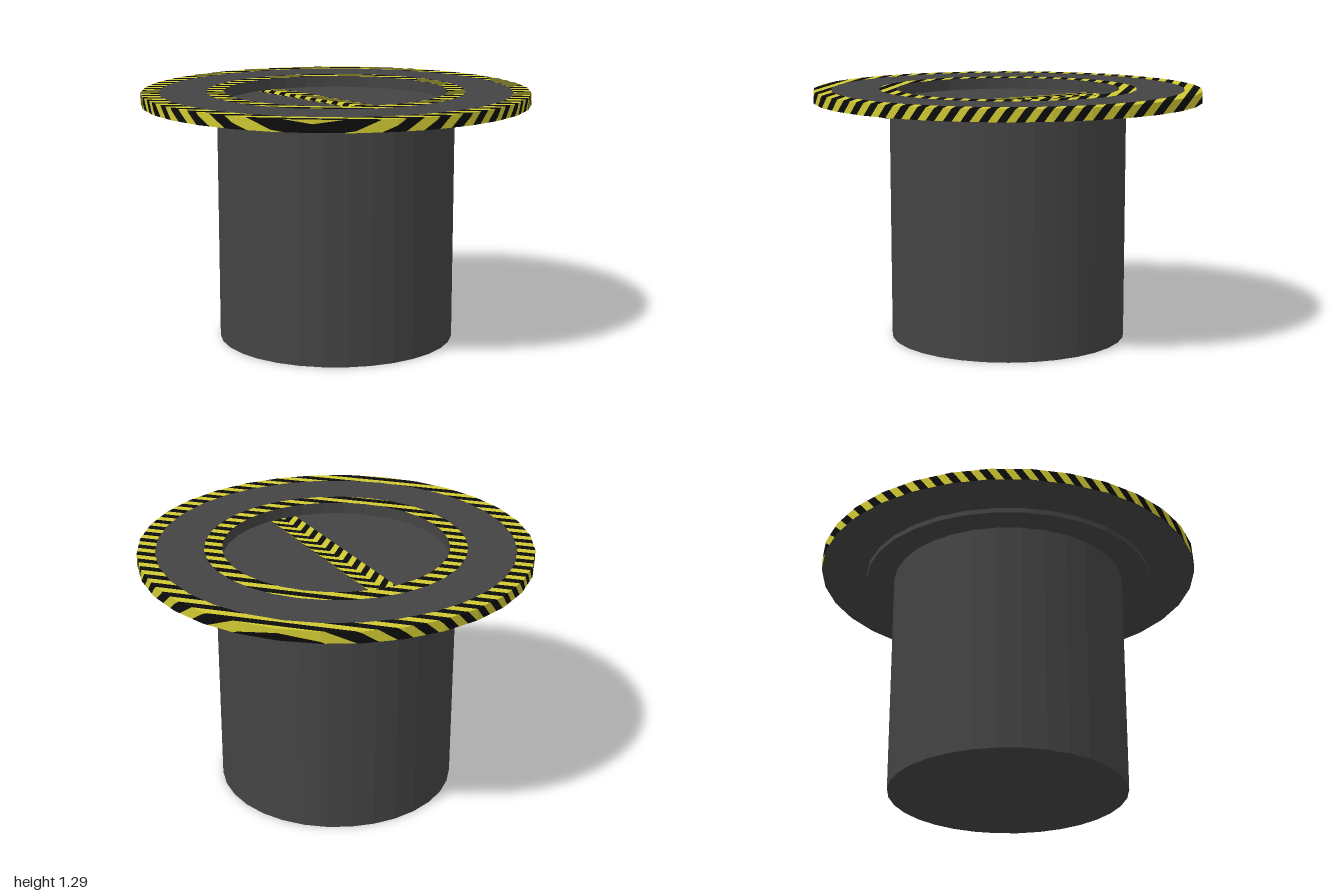
import * as THREE from 'three';

const SIDES = 32;
const grey = new THREE.MeshStandardMaterial({ color: 0x444444 });
const yellow = new THREE.MeshStandardMaterial({ color: 0xcfc832 });
const black = new THREE.MeshStandardMaterial({ color: 0x0c0c0c });
grey.name = 'dark grey';
yellow.name = 'warning yellow';
black.name = 'stripe black';

// flat-faced version of a geometry
function faceted(geometry) {
  const g = geometry.toNonIndexed();
  g.computeVertexNormals();
  return g;
}

function addMesh(group, name, geometry, material) {
  const mesh = new THREE.Mesh(geometry, material);
  mesh.name = name;
  group.add(mesh);
}

// flat-faced turned part from [radius, height] pairs
function turned(pairs) {
  const points = pairs.map(([r, y]) => new THREE.Vector2(r, y));
  return faceted(new THREE.LatheGeometry(points, SIDES));
}

// keep the part of a convex polygon where sign * (s(p) - limit) >= 0
function clip(polygon, s, limit, sign) {
  const out = [];
  polygon.forEach((a, i) => {
    const b = polygon[(i + 1) % polygon.length];
    const da = sign * (s(a) - limit);
    const db = sign * (s(b) - limit);
    if (da >= 0) out.push(a);
    if (da * db < 0) out.push(a.clone().lerp(b, da / (da - db)));
  });
  return out;
}

// cut polygons into alternating yellow and black stripes along the measure s
function striped(name, faces, period, offset) {
  const lists = [[], []];
  const half = period / 2;
  for (const { polygon, s } of faces) {
    const values = polygon.map(s);
    const first = Math.floor((Math.min(...values) - offset) / half);
    const last = Math.floor((Math.max(...values) - offset) / half);
    for (let k = first; k <= last; k++) {
      const low = clip(polygon, s, offset + k * half, 1);
      const piece = clip(low, s, offset + (k + 1) * half, -1);
      for (let i = 1; i < piece.length - 1; i++) {
        for (const p of [piece[0], piece[i], piece[i + 1]]) lists[Math.abs(k % 2)].push(p.x, p.y, p.z);
      }
    }
  }
  const group = new THREE.Group();
  group.name = name;
  lists.forEach((list, i) => {
    const g = new THREE.BufferGeometry();
    g.setAttribute('position', new THREE.Float32BufferAttribute(list, 3));
    g.computeVertexNormals();
    addMesh(group, name + (i ? 'Black' : 'Yellow'), g, i ? black : yellow);
  });
  return group;
}

const V = (x, y, z) => new THREE.Vector3(x, y, z);

// diagonal stripe faces of a round band between two profile points
function bandFaces([r0, y0], [r1, y1]) {
  const at = (r, y, i) => {
    const a = (i / SIDES) * Math.PI * 2;
    return V(r * Math.sin(a), y, r * Math.cos(a));
  };
  const s = (p) => p.x + p.z + (p.y - 1.295);
  return Array.from({ length: SIDES }, (_, i) => ({
    polygon: [at(r0, y0, i), at(r0, y0, i + 1), at(r1, y1, i + 1), at(r1, y1, i)],
    s,
  }));
}

export function createModel() {
  const model = new THREE.Group();
  const bottom = 1.235, top = 1.295;

  // round pedestal and the thin flange near its top
  const pedestal = new THREE.CylinderGeometry(0.612, 0.612, 1.232, SIDES);
  pedestal.translate(0, 0.616, 0);
  addMesh(model, 'pedestal', faceted(pedestal), grey);
  const flange = new THREE.CylinderGeometry(0.76, 0.76, 0.025, SIDES);
  flange.translate(0, 1.2075, 0);
  addMesh(model, 'flange', faceted(flange), grey);

  // wide rim: grey walkway, inner wall and underside
  addMesh(model, 'rimWalkway', turned([[0.91, top], [0.665, top]]), grey);
  addMesh(model, 'rimUnderside', turned([[0.575, top], [0.575, bottom], [1, bottom]]), grey);

  // striped borders of the rim
  const outer = [...bandFaces([1, bottom], [1, top]), ...bandFaces([1, top], [0.91, top])];
  model.add(striped('outerBorder', outer, 0.118, -0.965));
  model.add(striped('innerBorder', bandFaces([0.665, top], [0.575, top]), 0.118, -0.965));

  // chevron bar across the opening, running out under the rim on one side
  const x0 = -0.575, x1 = 0.765, y0 = 1.193, y1 = 1.2345, w = 0.072;
  const barFaces = [];
  const s = (p) => p.x - Math.abs(p.z);
  const endS = (p) => Math.abs(p.z) + p.y;
  for (const [a, b] of [[-w, 0], [0, w]]) {
    barFaces.push({ polygon: [V(x0, y1, b), V(x1, y1, b), V(x1, y1, a), V(x0, y1, a)], s });
    barFaces.push({ polygon: [V(x0, y0, a), V(x1, y0, a), V(x1, y0, b), V(x0, y0, b)], s });
    barFaces.push({ polygon: [V(x1, y0, b), V(x1, y0, a), V(x1, y1, a), V(x1, y1, b)], s: endS });
    barFaces.push({ polygon: [V(x0, y0, a), V(x0, y0, b), V(x0, y1, b), V(x0, y1, a)], s: endS });
  }
  const sideS = (p) => p.x + p.y;
  barFaces.push({ polygon: [V(x0, y0, w), V(x1, y0, w), V(x1, y1, w), V(x0, y1, w)], s: sideS });
  barFaces.push({ polygon: [V(x1, y0, -w), V(x0, y0, -w), V(x0, y1, -w), V(x1, y1, -w)], s: sideS });
  model.add(striped('chevronBar', barFaces, 0.089, 0.02));

  return model;
}
